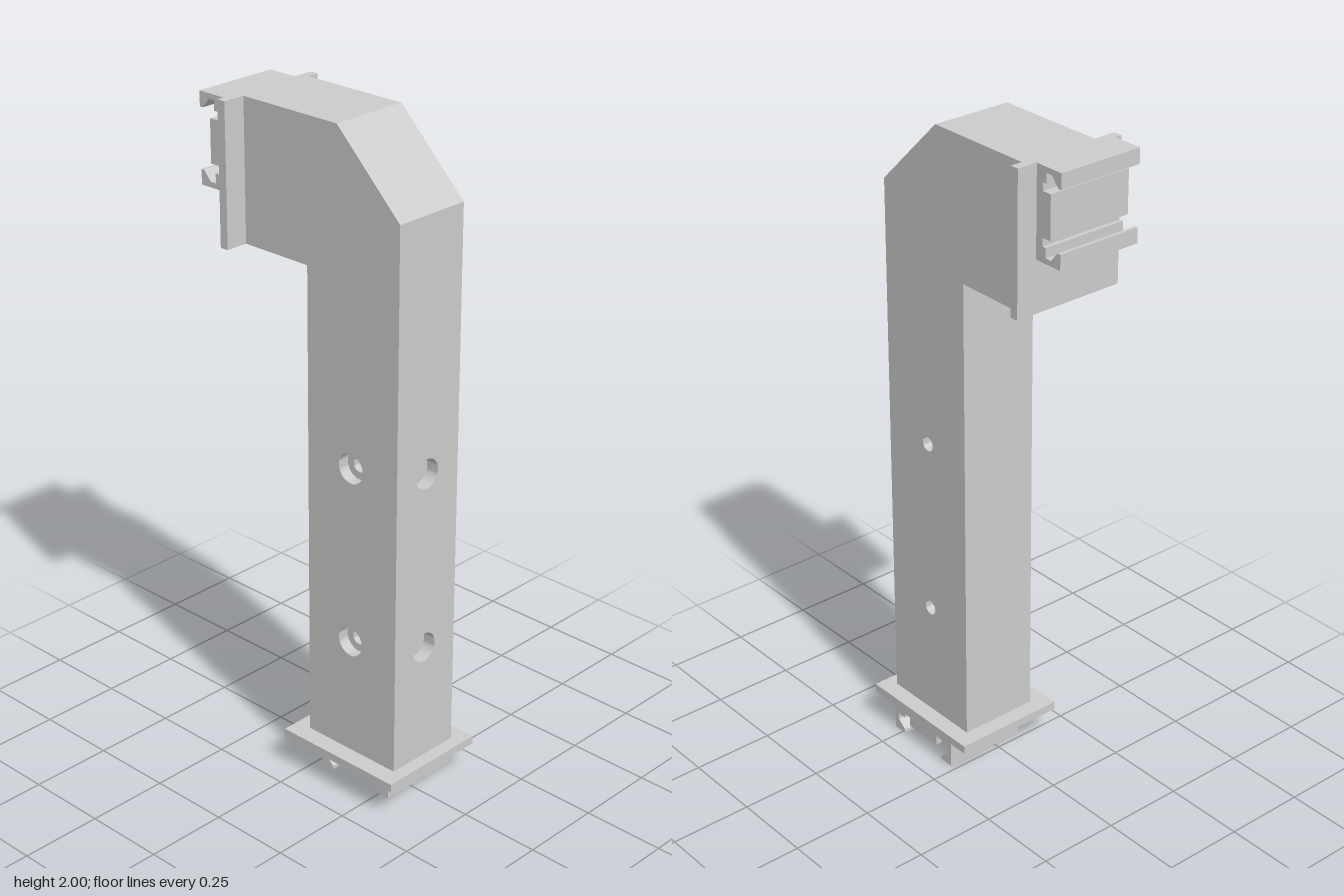
import * as THREE from 'three';
import { toCreasedNormals } from 'three/addons/utils/BufferGeometryUtils.js';

const X0 = -0.115, X1 = 0.132;          // side faces of the square post
const HOLE_Y = [0.48, 1.027];           // heights of the hole pairs
const HOLE_Z = 0.153, BORE = 0.045, SMALL = 0.022;

export function createModel() {
  const root = new THREE.Group();
  const mat = new THREE.MeshStandardMaterial({ color: 0xcccccc });
  const inner = new THREE.MeshStandardMaterial({ color: 0xcccccc, side: THREE.DoubleSide });

  const add = (name, geo, parent = root, material = mat) => {
    const m = new THREE.Mesh(geo, material);
    m.name = name;
    parent.add(m);
    return m;
  };
  const box = (name, x0, x1, y0, y1, z0, z1) =>
    add(name, new THREE.BoxGeometry(x1 - x0, y1 - y0, z1 - z0))
      .position.set((x0 + x1) / 2, (y0 + y1) / 2, (z0 + z1) / 2);
  const panel = (points, holeX, r) => {
    const s = new THREE.Shape(points.map(p => new THREE.Vector2(...p)));
    for (const y of HOLE_Y) s.holes.push(new THREE.Path().absarc(holeX, y, r, 0, Math.PI * 2, true));
    return new THREE.ShapeGeometry(s, 16);
  };

  // Elbow body: outline in (z, y), starting at the front foot
  const body = new THREE.Group();
  body.name = 'elbowBody';
  root.add(body);
  const outline = [[0.325, 0.12], [0.325, 1.78], [0.1, 2], [-0.245, 2],
    [-0.245, 1.58], [-0.01, 1.58], [-0.01, 0.12]];

  add('leftSide', panel(outline.map(([z, y]) => [-z, y]), -HOLE_Z, SMALL)
    .rotateY(Math.PI / 2).translate(X1, 0, 0), body);
  add('rightSide', panel(outline, HOLE_Z, BORE)
    .rotateY(-Math.PI / 2).translate(X0, 0, 0), body);
  add('frontFace', panel([[X0, 0.12], [X1, 0.12], [X1, 1.78], [X0, 1.78]], 0.006, BORE)
    .translate(0, 0, 0.325), body);

  // Remaining faces are strips spanning the two sides
  const pos = [];
  for (let i = 1; i < outline.length; i++) {
    const [az, ay] = outline[i], [bz, by] = outline[(i + 1) % outline.length];
    pos.push(X0, ay, az, X1, ay, az, X1, by, bz, X0, ay, az, X1, by, bz, X0, by, bz);
  }
  const wrap = new THREE.BufferGeometry();
  wrap.setAttribute('position', new THREE.Float32BufferAttribute(pos, 3));
  wrap.computeVertexNormals();
  add('outerWrap', wrap, body);

  // Hole linings: [radius, depth] profiles turned about the hole axis
  const lining = profile => toCreasedNormals(new THREE.LatheGeometry(
    profile.map(([r, d]) => new THREE.Vector2(r, -d)), 32), 0.6);
  const W = X1 - X0;
  for (const y of HOLE_Y) {
    add('frontSocket', lining([[BORE, 0], [BORE, 0.04], [0, 0.04]]).rotateX(Math.PI / 2),
      body, inner).position.set(0.006, y, 0.325);
    add('crossBore', lining([[SMALL, 0], [SMALL, 0.08], [0.01, 0.08], [0.01, 0.12],
      [SMALL, 0.12], [SMALL, W - 0.035], [BORE, W - 0.035], [BORE, W]]).rotateZ(-Math.PI / 2),
      body, inner).position.set(X1, y, HOLE_Z);
  }

  // Flanges at both ends
  box('footFlange', -0.17, 0.183, 0.095, 0.12, -0.06, 0.365);
  box('backFlange', -0.185, 0.168, 1.58, 2, -0.272, -0.245);

  // Rail clip: base slab, raised centre block and two inward hooks
  const half = [[0.133, 0], [0.133, 0.094], [0.088, 0.094], [0.088, 0.083], [0.117, 0.058],
    [0.117, 0.038], [0.088, 0.038], [0.088, 0.025], [0.064, 0.025], [0.064, 0.055]];
  const profile = [...half, ...half.map(([u, h]) => [-u, h]).reverse()];
  const clip = (name, length, u, h, x, y, z) => {
    const g = new THREE.ExtrudeGeometry(
      new THREE.Shape(profile.map(p => new THREE.Vector2(...p))),
      { depth: length, bevelEnabled: false });
    g.applyMatrix4(new THREE.Matrix4().makeBasis(u, h, new THREE.Vector3(1, 0, 0)));
    add(name, g).position.set(x, y, z);
  };
  const v = (x, y, z) => new THREE.Vector3(x, y, z);
  clip('footClip', 0.264, v(0, 0, 1), v(0, -1, 0), -0.095, 0.094, HOLE_Z);
  clip('backClip', 0.268, v(0, -1, 0), v(0, 0, -1), -0.163, 1.867, -0.271);

  return root;
}
